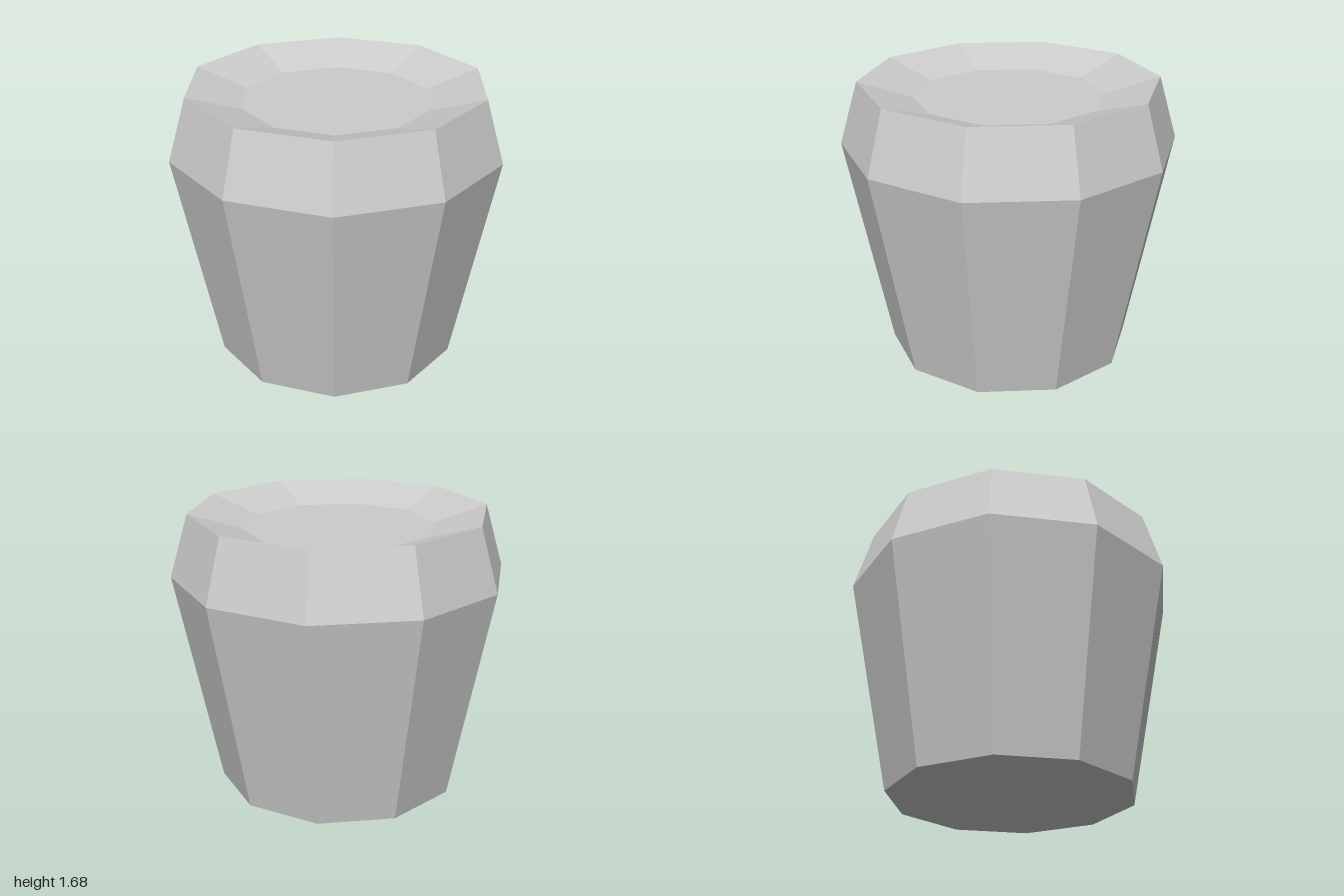
import * as THREE from 'three';

const SIDES = 10;

export function createModel() {
  const group = new THREE.Group();
  group.name = 'taperedPot';

  const grey = new THREE.MeshStandardMaterial({ color: 0xcccccc, flatShading: true });
  grey.name = 'plain grey';

  // Ten-sided ring of faces through [radius, height] points, with a corner facing +z
  const addPart = (name, profile) => {
    const points = profile.map(([r, y]) => new THREE.Vector2(r, y));
    const mesh = new THREE.Mesh(new THREE.LatheGeometry(points, SIDES), grey);
    mesh.name = name;
    group.add(mesh);
  };

  addPart('base', [[0, 0], [0.74, 0]]);
  addPart('taperedWall', [[0.74, 0], [1, 1.31]]);
  addPart('shoulder', [[1, 1.31], [0.89, 1.685]]);
  // Shallow dished top
  addPart('dishSlope', [[0.89, 1.685], [0.57, 1.587]]);
  addPart('dishFloor', [[0.57, 1.587], [0, 1.587]]);

  return group;
}
